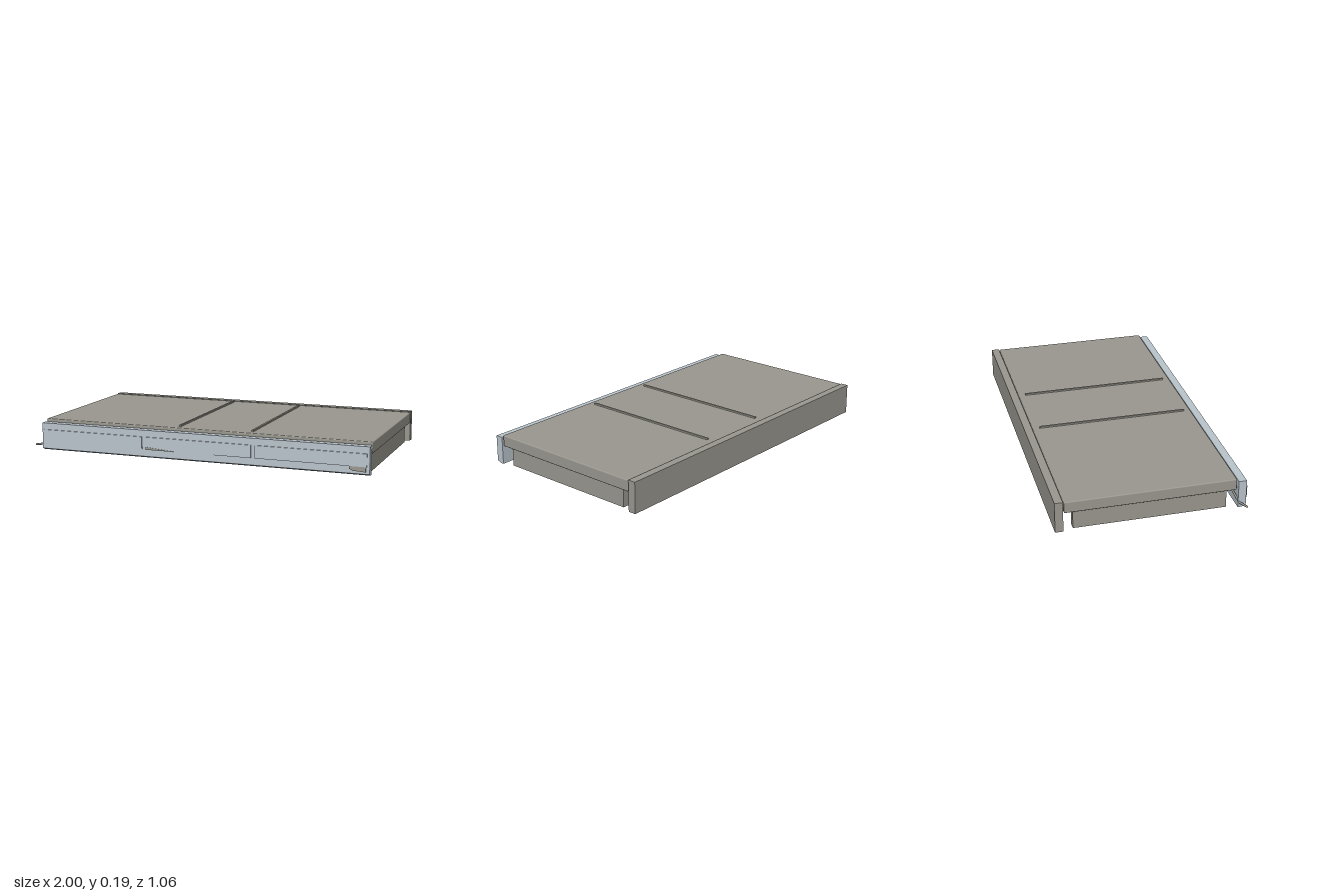
import * as THREE from 'three';
import { RoundedBoxGeometry } from 'three/addons/geometries/RoundedBoxGeometry.js';

export function createModel() {
  const root = new THREE.Group();
  root.name = 'platform';
  const grey = new THREE.MeshStandardMaterial({ color: 0x9a9890 });
  grey.name = 'warm grey';
  const pale = new THREE.MeshStandardMaterial({ color: 0xbac5cd });
  pale.name = 'pale blue grey';

  function add(name, geometry, material) {
    const mesh = new THREE.Mesh(geometry, material);
    mesh.name = name;
    root.add(mesh);
    return mesh;
  }
  // Box given by its limits on each axis
  function box(name, material, [x0, x1], [y0, y1], [z0, z1], radius = 0) {
    const size = [x1 - x0, y1 - y0, z1 - z0];
    const geometry = radius
      ? new RoundedBoxGeometry(...size, 2, radius)
      : new THREE.BoxGeometry(...size);
    add(name, geometry, material)
      .position.set((x0 + x1) / 2, (y0 + y1) / 2, (z0 + z1) / 2);
  }
  // Extruded outline from a few points
  function extrude(name, material, points, depth) {
    const shape = new THREE.Shape(points.map(([x, y]) => new THREE.Vector2(x, y)));
    return add(name, new THREE.ExtrudeGeometry(shape, { depth, bevelEnabled: false }), material);
  }

  const span = [-0.95, 1];

  // Thick deck with softened edges, and two slim seams on top
  box('deck', grey, span, [0.11, 0.176], [-0.48, 0.468], 0.006);
  for (const x of [-0.123, 0.31]) {
    box('deckSeam', grey, [x - 0.006, x + 0.006], [0.174, 0.185], [-0.44, 0.427]);
  }

  // Four cross boards carrying the deck
  for (let i = 0; i < 4; i++) {
    const x = -0.91 + i * 0.623;
    box('supportBoard', grey, [x - 0.02, x + 0.02], [0, 0.11], [-0.43, 0.417]);
  }

  // Rear board
  box('rearBoard', grey, span, [0, 0.178], [-0.53, -0.485]);

  // Front board, its lower front edge cut at a slant
  const front = extrude('frontBoard', pale,
    [[-0.478, 0], [-0.478, 0.16], [-0.523, 0.16], [-0.523, 0.01], [-0.5, 0]], 1.95);
  front.rotation.y = Math.PI / 2;
  front.position.x = -0.95;

  // Three raised panels on the front board
  for (let i = 0; i < 3; i++) {
    const x = -0.94 + i * 0.65;
    box('frontPanel', pale, [x, x + 0.625], [0.05, 0.122], [0.522, 0.53]);
  }

  // Small grey slivers beside the panels
  extrude('middleSliver', grey, [[-0.29, 0.05], [-0.11, 0.05], [-0.29, 0.066]], 0.009)
    .position.z = 0.523;
  extrude('endSliver', grey,
    [[0.89, 0.035], [0.91, 0.026], [0.98, 0.022], [0.98, 0.05], [0.89, 0.05]], 0.008)
    .position.z = 0.522;

  // Bent lever at the right front corner
  const lever = new THREE.CurvePath();
  const bends = [[-0.998, 0.027, 0.512], [-0.95, 0.03, 0.485], [-0.9, 0.086, 0.459]]
    .map((p) => new THREE.Vector3(...p));
  lever.add(new THREE.LineCurve3(bends[0], bends[1]));
  lever.add(new THREE.LineCurve3(bends[1], bends[2]));
  add('lever', new THREE.TubeGeometry(lever, 16, 0.006, 8), grey);
  for (const end of [bends[0], bends[2]]) {
    add('leverEnd', new THREE.SphereGeometry(0.006, 8, 6), grey).position.copy(end);
  }

  return root;
}
